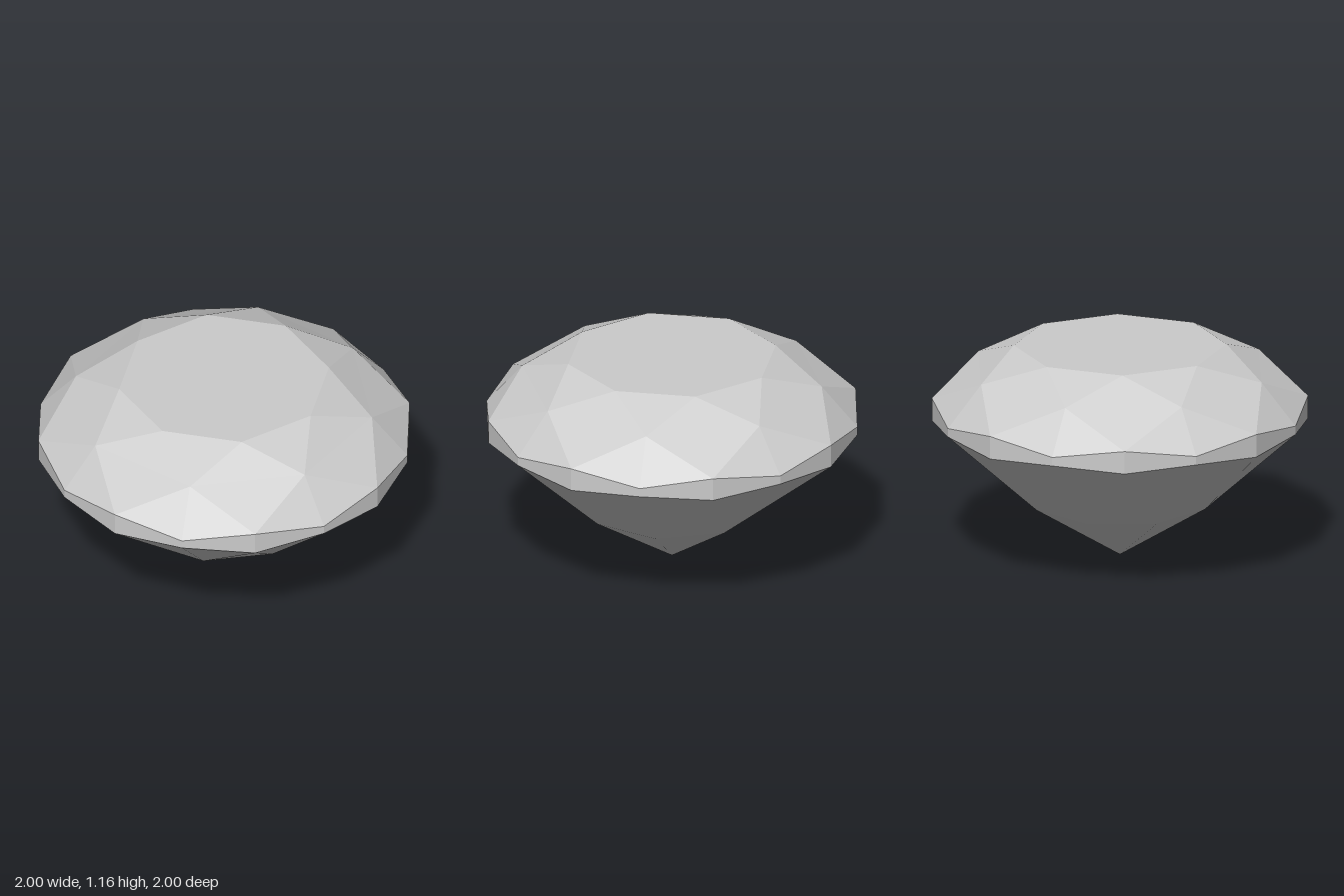
import * as THREE from 'three';

// Point on a ring; step counts sixteenths of a turn from the front
const ringPoint = (radius, y, step) => {
  const a = (step * Math.PI) / 8;
  return [radius * Math.sin(a), y, radius * Math.cos(a)];
};

// Named corners of the cut: even steps are main facets, odd steps lie between
const table = (s) => ringPoint(0.565, 1.165, s);
const star = (s) => ringPoint(0.807, 1.042, s);
const girdleTop = (s) => ringPoint(1, s % 2 ? 0.822 : 0.875, s);
const girdleBottom = (s) => ringPoint(1, s % 2 ? 0.775 : 0.75, s);
const lower = (s) => ringPoint(0.485, 0.305, s);
const culet = [0, 0, 0];

// Flat-shaded mesh from triangles repeated around the eight sides
function facets(name, trianglesAt) {
  const positions = [];
  for (let s = 0; s < 16; s += 2) {
    for (const triangle of trianglesAt(s)) positions.push(...triangle.flat());
  }
  const geometry = new THREE.BufferGeometry();
  geometry.setAttribute('position', new THREE.Float32BufferAttribute(positions, 3));
  geometry.computeVertexNormals();
  const material = new THREE.MeshStandardMaterial({ color: 0xcccccc, flatShading: true });
  const mesh = new THREE.Mesh(geometry, material);
  mesh.name = name;
  return mesh;
}

export function createModel() {
  const gem = new THREE.Group();
  gem.name = 'cutGem';

  // Flat octagon on top
  gem.add(facets('table', (s) => [[[0, 1.165, 0], table(s), table(s + 2)]]));

  // Sloping facets between table and girdle
  gem.add(facets('starFacets', (s) => [[star(s + 1), table(s + 2), table(s)]]));
  gem.add(facets('crownKites', (s) => [
    [star(s - 1), star(s + 1), table(s)],
    [girdleTop(s), star(s + 1), star(s - 1)],
  ]));
  gem.add(facets('upperGirdleFacets', (s) => [
    [girdleTop(s), girdleTop(s + 1), star(s + 1)],
    [girdleTop(s + 1), girdleTop(s + 2), star(s + 1)],
  ]));

  // Narrow upright band around the widest part
  gem.add(facets('girdle', (s) => [s, s + 1].flatMap((i) => [
    [girdleBottom(i), girdleBottom(i + 1), girdleTop(i + 1)],
    [girdleBottom(i), girdleTop(i + 1), girdleTop(i)],
  ])));

  // Underside running down to the point
  gem.add(facets('lowerGirdleFacets', (s) => [
    [lower(s + 1), girdleBottom(s + 1), girdleBottom(s)],
    [lower(s + 1), girdleBottom(s + 2), girdleBottom(s + 1)],
  ]));
  gem.add(facets('pavilionKites', (s) => [
    [lower(s - 1), lower(s + 1), girdleBottom(s)],
    [culet, lower(s + 1), lower(s - 1)],
  ]));

  return gem;
}
